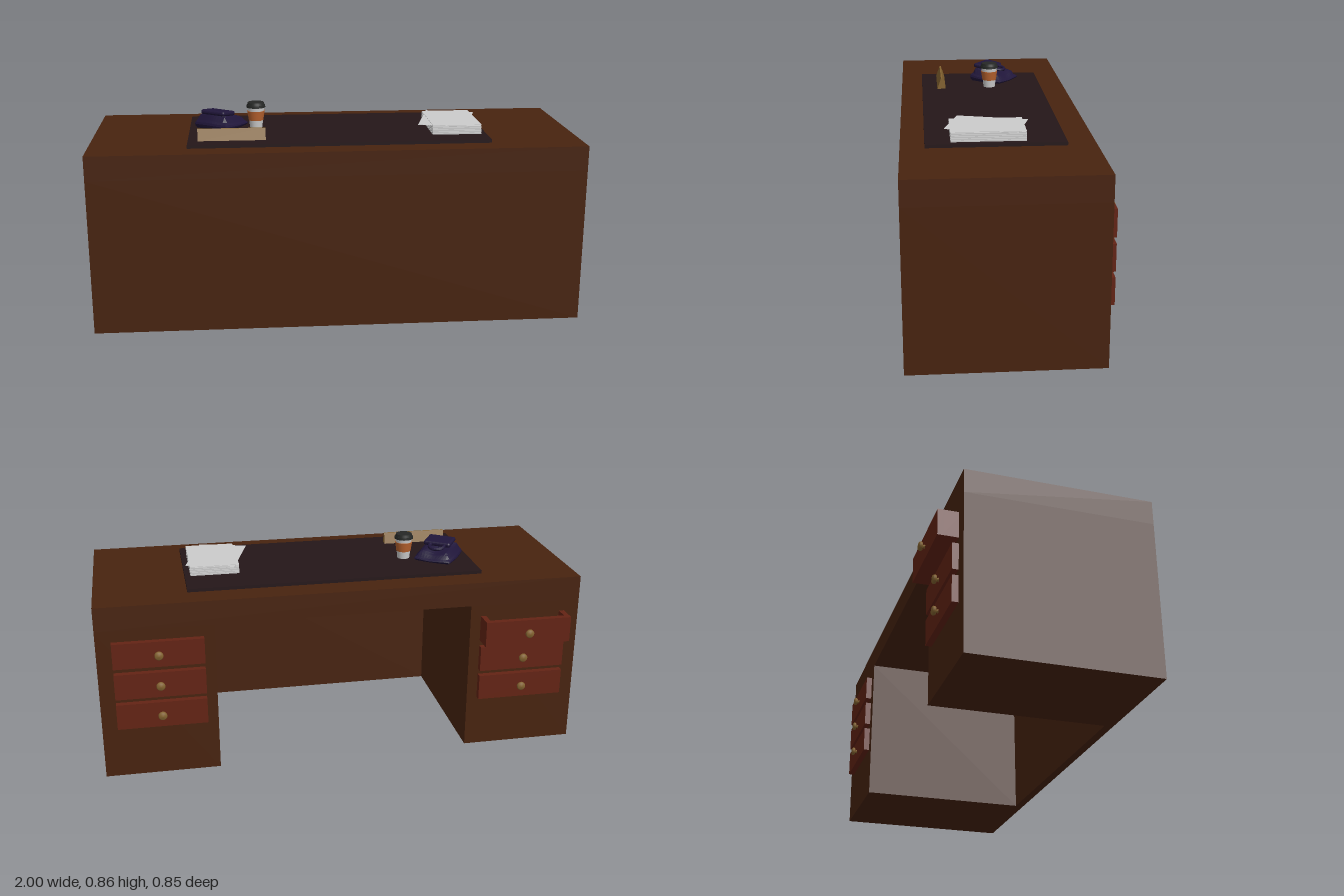
import * as THREE from 'three';
import { RoundedBoxGeometry } from 'three/addons/geometries/RoundedBoxGeometry.js';

const material = (color, extra = {}) => new THREE.MeshStandardMaterial({ color, ...extra });
const wood = material(0x48230f);
const drawerWood = material(0x642314);
const brass = material(0x846330);
const blotterMat = material(0x241618);
const paper = material(0xcccccc);
const cloth = material(0x20163a, { flatShading: true });
const orange = material(0xb8622e);
const lidMat = material(0x262826);

function add(parent, name, geometry, mat, x = 0, y = 0, z = 0) {
  const mesh = new THREE.Mesh(geometry, mat);
  mesh.name = name;
  mesh.position.set(x, y, z);
  parent.add(mesh);
  return mesh;
}

// Box given by its minimum and maximum corners
function box(parent, name, mat, [x0, y0, z0], [x1, y1, z1]) {
  return add(parent, name, new THREE.BoxGeometry(x1 - x0, y1 - y0, z1 - z0), mat,
    (x0 + x1) / 2, (y0 + y1) / 2, (z0 + z1) / 2);
}

function group(parent, name, x = 0, y = 0, z = 0) {
  const g = new THREE.Group();
  g.name = name;
  g.position.set(x, y, z);
  parent.add(g);
  return g;
}

const BACK = -0.32, FRONT = 0.425;

// Pedestals, modesty panel and top, with the knee hole open at the back
function desk(root) {
  const g = group(root, 'desk');
  const plan = [[-1, FRONT], [-1, BACK], [-0.53, BACK], [-0.53, 0.39],
    [0.53, 0.39], [0.53, BACK], [1, BACK], [1, FRONT]];
  const shape = new THREE.Shape(plan.map(([x, z]) => new THREE.Vector2(x, -z)));
  const base = new THREE.ExtrudeGeometry(shape, { depth: 0.64, bevelEnabled: false });
  base.rotateX(-Math.PI / 2);
  add(g, 'pedestalsAndPanel', base, wood);
  box(g, 'deskTop', wood, [-1, 0.64, BACK], [1, 0.74, FRONT]);
}

// Turned knob whose axis points to -z
function knob(parent) {
  const profile = [[0.009, 0], [0.006, 0.004], [0.006, 0.008], [0.014, 0.009], [0.018, 0.013],
    [0.018, 0.019], [0.014, 0.024], [0, 0.026]].map(([r, h]) => new THREE.Vector2(r, h));
  const geometry = new THREE.LatheGeometry(profile, 16);
  geometry.rotateX(-Math.PI / 2);
  return add(parent, 'knob', geometry, brass);
}

// Drawer pulled out by a distance, with an open tray behind its front
function drawer(root, x, y, pull) {
  const g = group(root, 'drawer', x, y, BACK - pull);
  const w = 0.182, h = 0.054, back = pull + 0.02;
  box(g, 'drawerFront', drawerWood, [-w, -h, 0], [w, h, 0.025]);
  if (back > 0.05) {
    box(g, 'drawerFloor', drawerWood, [-w, -h, 0.025], [w, -h + 0.012, back]);
    for (const s of [-1, 1]) {
      const edges = [s * w, s * (w - 0.022)].sort((a, b) => a - b);
      box(g, 'drawerSide', drawerWood, [edges[0], -h + 0.012, 0.025], [edges[1], h, back]);
    }
  }
  knob(g);
}

function papers(root) {
  const g = group(root, 'paperStack', 0.5, 0.753, 0.09);
  for (let i = 0; i < 5; i++) {
    add(g, 'paperBundle', new THREE.BoxGeometry(0.203, 0.0055, 0.288), paper, 0, 0.004 + i * 0.0072, 0);
  }
  const loose = add(g, 'looseSheet', new THREE.BoxGeometry(0.205, 0.0015, 0.288), paper, -0.02, 0.037, 0);
  loose.rotation.y = -0.28;
  add(g, 'topSheet', new THREE.BoxGeometry(0.203, 0.0015, 0.288), paper, 0, 0.0395, 0);
}

// Triangular desk plate
function namePlate(root) {
  const shape = new THREE.Shape([[-0.02, 0], [0.018, 0], [0.003, 0.047], [-0.003, 0.047]]
    .map(([a, b]) => new THREE.Vector2(a, b)));
  const geometry = new THREE.ExtrudeGeometry(shape, { depth: 0.275, bevelEnabled: false });
  geometry.rotateY(Math.PI / 2);
  add(root, 'namePlate', geometry, brass, -0.565, 0.753, 0.244);
}

// Takeaway cup with sleeve and lid
function cup(root) {
  const g = group(root, 'cup', -0.325, 0.753, 0.026);
  const cone = (name, mat, r0, r1, y0, y1) =>
    add(g, name, new THREE.CylinderGeometry(r1, r0, y1 - y0, 24), mat, 0, (y0 + y1) / 2, 0);
  cone('cupBody', paper, 0.026, 0.036, 0, 0.09);
  cone('cupSleeve', orange, 0.031, 0.037, 0.032, 0.072);
  cone('lidRim', lidMat, 0.04, 0.039, 0.087, 0.097);
  cone('lidTop', lidMat, 0.037, 0.034, 0.097, 0.108);
}

// Soft folded garment, thick toward the front and thin toward the back
function foldedCloth(root) {
  const g = group(root, 'foldedCloth', -0.472, 0.753, -0.005);
  g.rotation.y = -0.62;
  const layer = (name, w, d, height) => {
    const geometry = new THREE.BoxGeometry(w, 1, d, 12, 4, 12);
    const p = geometry.attributes.position;
    for (let i = 0; i < p.count; i++) {
      const x = p.getX(i), z = p.getZ(i), t = p.getY(i) + 0.5;
      const u = 2 * x / w, v = 2 * z / d;
      const round = Math.sqrt(Math.max(0, 1 - 0.75 * Math.max(u ** 6, v ** 6)));
      const bulge = 0.9 + 0.1 * Math.sin(Math.PI * t);
      p.setXYZ(i, x * bulge * (1 - 0.08 * v * v), t * round * height(u, v), z * bulge * (1 - 0.08 * u * u));
    }
    geometry.computeVertexNormals();
    return add(g, name, geometry, cloth);
  };
  layer('clothBody', 0.175, 0.175, (u, v) =>
    0.053 + 0.02 * v + 0.004 * Math.sin(4 * u + 2 * v));
  // Upper fold and collar roll
  const fold = add(g, 'upperFold', new RoundedBoxGeometry(0.12, 0.02, 0.085, 3, 0.009), cloth, 0.005, 0.066, 0.03);
  fold.rotation.x = -0.12;
  const roll = add(g, 'collarRoll', new THREE.TorusGeometry(0.032, 0.007, 8, 20), cloth, 0, 0.058, -0.02);
  roll.rotation.x = -Math.PI / 2 - 0.2;
}

export function createModel() {
  const root = new THREE.Group();
  root.name = 'writingDesk';
  desk(root);
  for (const side of [-1, 1]) {
    [0.539, 0.407, 0.276].forEach((y, row) =>
      drawer(root, side * 0.756, y, side < 0 && row === 0 ? 0.08 : 0.025));
  }
  box(root, 'blotter', blotterMat, [-0.605, 0.738, -0.208], [0.625, 0.753, 0.332]);
  papers(root);
  namePlate(root);
  cup(root);
  foldedCloth(root);
  return root;
}
